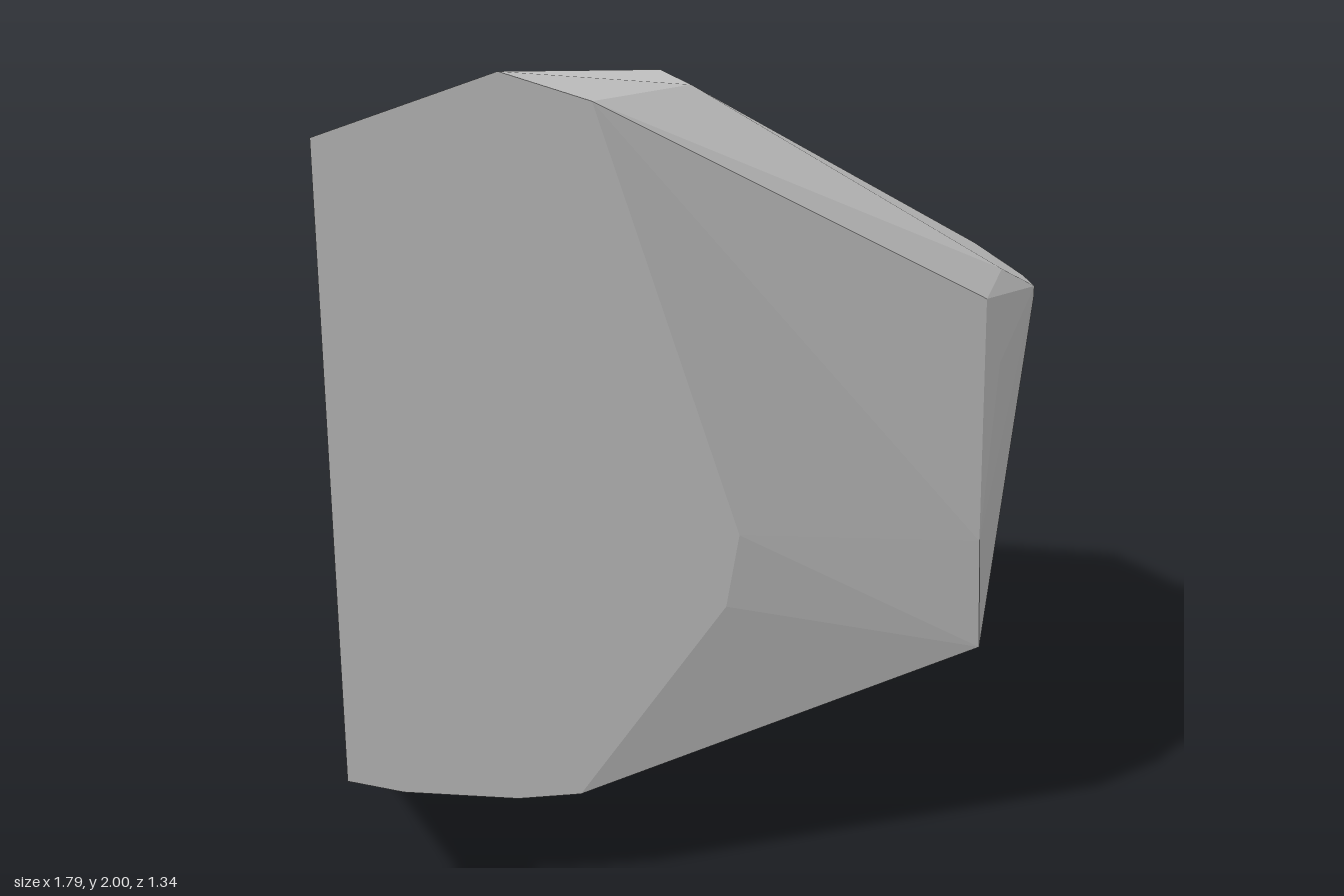
import * as THREE from 'three';
import { ConvexGeometry } from 'three/addons/geometries/ConvexGeometry.js';

// Faceted boulder: the hull of its corners, grouped by the side they bound.
const SIDE_X = -0.9, BACK_Z = -0.67, FRONT_Z = 0.665;

// Flat cut side (z, y)
const cutSide = [[0.665, 1.87], [-0.67, 1.43], [-0.67, 0.5], [-0.62, 0.41],
  [-0.48, 0.22], [-0.24, 0.02], [-0.15, 0.02], [0.665, 0.33]];

// Flat cut back (x, y)
const cutBack = [[-0.24, 1.65], [-0.06, 1.61], [0.71, 1.16], [0.8, 0.91],
  [0.635, 0.28], [0.6, 0.24], [0.5, 0.18], [0.43, 0.16], [0.26, 0.13], [-0.29, 0.24]];

// Flat front (x, y)
const front = [[-0.5, 2], [-0.3, 1.93], [0.03, 0.9], [0, 0.72],
  [-0.35, 0.25], [-0.5, 0.25], [-0.77, 0.29]];

// Free corners (x, y, z)
const crown = [[-0.01, 1.86, 0.17], [-0.05, 1.85, -0.08], [-0.09, 1.81, -0.25]];
const nose = [[0.89, 1.3, 0.1], [0.89, 1.3, 0], [0.89, 1.27, 0.1], [0.89, 1.27, 0],
  [0.78, 1.37, 0.17], [0.78, 1.37, -0.08], [0.65, 1.32, -0.45],
  [0.7, 1.34, 0.32], [0.735, 1.18, 0.34]];
const shoulder = [[0.64, 0.8, 0.555], [0.65, 0.52, 0.565], [0.645, 0.5, 0.42],
  [0.735, 0.66, 0.17], [0.635, 0.285, -0.26]];
const base = [[-0.37, 0.015, -0.2], [-0.4, 0.03, 0.07], [-0.5, 0.005, -0.07],
  [-0.5, 0, -0.26], [-0.7, 0.01, -0.26]];

export function createModel() {
  const corners = [
    ...cutSide.map(([z, y]) => [SIDE_X, y, z]),
    ...cutBack.map(([x, y]) => [x, y, BACK_Z]),
    ...front.map(([x, y]) => [x, y, FRONT_Z]),
    ...crown, ...nose, ...shoulder, ...base,
  ].map((p) => new THREE.Vector3(...p));

  const rock = new THREE.Mesh(
    new ConvexGeometry(corners),
    new THREE.MeshStandardMaterial({ color: 0xcccccc, flatShading: true }),
  );
  rock.name = 'rock';

  const group = new THREE.Group();
  group.name = 'boulder';
  group.add(rock);
  return group;
}
